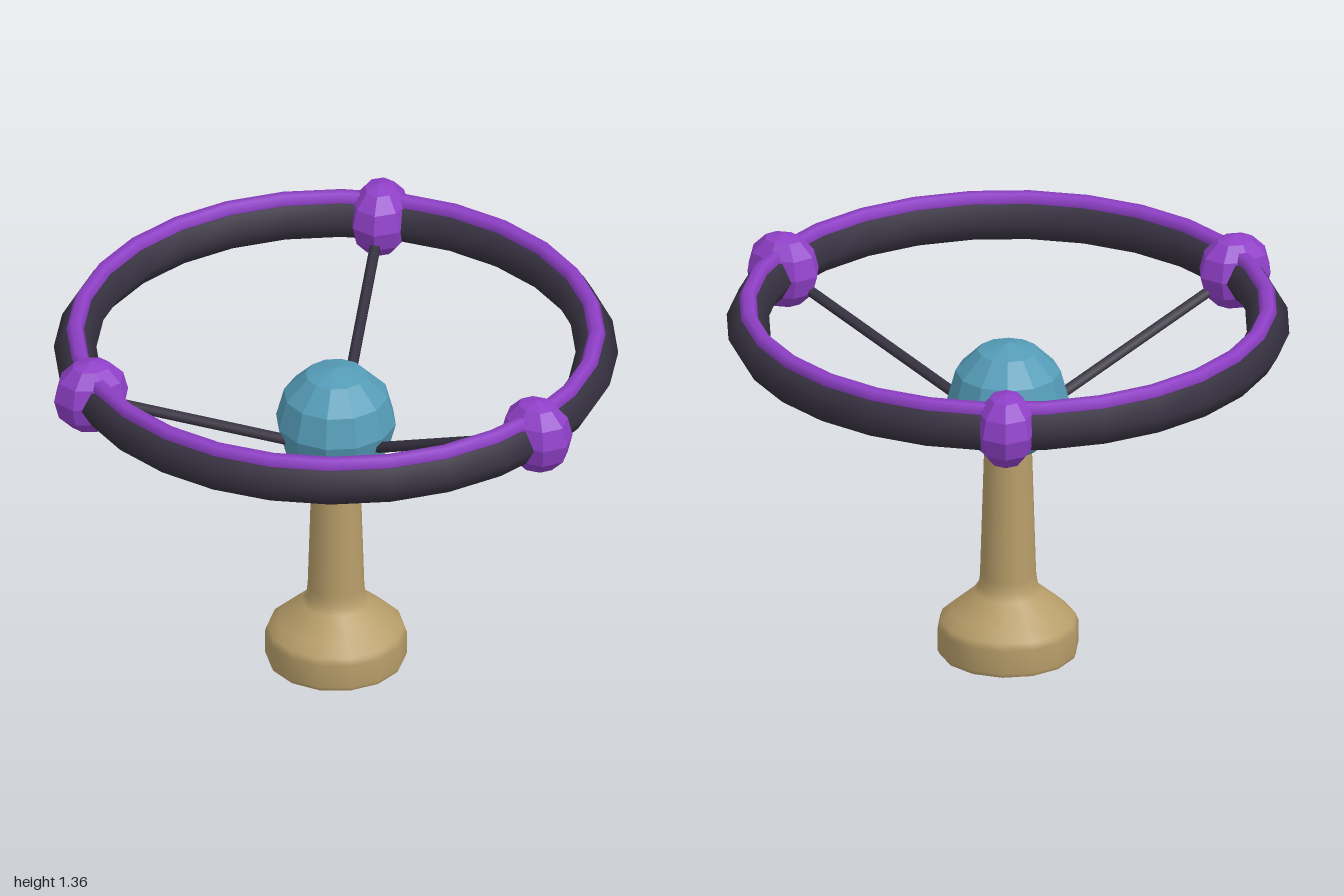
import * as THREE from 'three';

const CENTER_Z = -0.035;   // axis of the stand and ring
const RING_R = 0.893;
const RING_Y = 1.222;

const mat = (color, flatShading = false) => new THREE.MeshStandardMaterial({ color, flatShading });

export function createModel() {
  const model = new THREE.Group();
  const axis = new THREE.Group();
  axis.name = 'ringStand';
  axis.position.z = CENTER_Z;
  model.add(axis);

  const tan = mat(0xb79d69);
  const blue = mat(0x559cb8, true);
  const dark = mat(0x35303f);
  const purple = mat(0x9040c8);
  const purpleFlat = mat(0x9040c8, true);

  const add = (parent, name, geometry, material) => {
    const mesh = new THREE.Mesh(geometry, material);
    mesh.name = name;
    parent.add(mesh);
    return mesh;
  };

  // Turned pedestal: weighted foot, sloped shoulder, tapering stem
  const profile = [
    [0.236, 0], [0.243, 0.016], [0.243, 0.1], [0.234, 0.124], [0.2, 0.155],
    [0.118, 0.226], [0.102, 0.25], [0.097, 0.29], [0.082, 0.78],
  ].map(([r, y]) => new THREE.Vector2(r, y));
  add(axis, 'pedestal', new THREE.LatheGeometry(profile, 14, Math.PI / 2), tan);
  const bottom = add(axis, 'pedestalBottom', new THREE.CircleGeometry(0.236, 14), tan);
  bottom.rotation.x = Math.PI / 2;

  // Faceted ball on top of the stem
  add(axis, 'hub', new THREE.SphereGeometry(0.208, 12, 6), blue).position.y = 0.943;

  // Six-sided ring with an inlaid stripe along its top
  const ring = add(axis, 'ring', new THREE.TorusGeometry(RING_R, 0.073, 6, 28), dark);
  ring.rotation.x = -Math.PI / 2;
  ring.position.y = RING_Y;
  const stripe = add(axis, 'ringStripe', new THREE.TorusGeometry(RING_R, 0.03, 6, 28), purple);
  stripe.rotation.x = -Math.PI / 2;
  stripe.position.y = 1.293;

  // Three spokes, each ending in a faceted knob on the ring
  const start = new THREE.Vector3(0, 0.895, 0.17);
  const end = new THREE.Vector3(0, 1.215, RING_R);
  const along = end.clone().sub(start);
  for (let i = 0; i < 3; i++) {
    const arm = new THREE.Group();
    arm.name = 'arm' + (i + 1);
    arm.rotation.y = (i * Math.PI * 2) / 3;
    axis.add(arm);

    const spoke = add(arm, 'spoke', new THREE.CylinderGeometry(0.02, 0.02, along.length(), 6), dark);
    spoke.position.addVectors(start, end).multiplyScalar(0.5);
    spoke.quaternion.setFromUnitVectors(new THREE.Vector3(0, 1, 0), along.clone().normalize());

    const knob = add(arm, 'knob', new THREE.SphereGeometry(0.135, 8, 6), purpleFlat);
    knob.scale.x = 0.82;
    knob.position.set(0, 1.225, RING_R);
  }
  return model;
}
